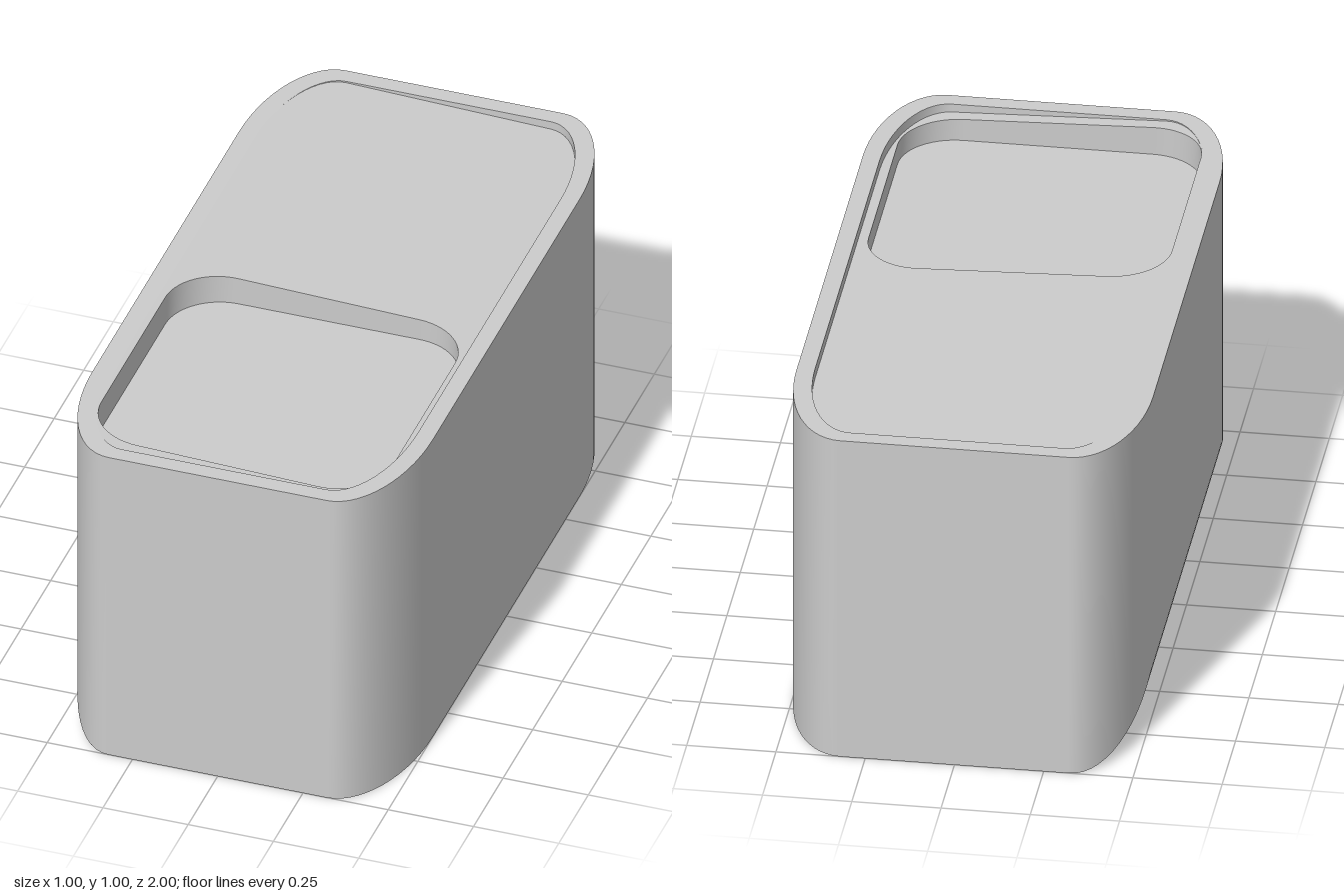
import * as THREE from 'three';

const material = new THREE.MeshStandardMaterial({ color: 0xcccccc });

// Rounded rectangle with elliptical corners, running from +x towards +z
function outline(hx, hz, rx, rz, cx = 0, cz = 0, n = 14) {
  const pts = [];
  const signs = [[1, 1], [-1, 1], [-1, -1], [1, -1]];
  signs.forEach(([sx, sz], q) => {
    for (let i = 0; i <= n; i++) {
      const t = (q + i / n) * Math.PI / 2;
      pts.push(new THREE.Vector2(
        cx + sx * (hx - rx) + rx * Math.cos(t),
        cz + sz * (hz - rz) + rz * Math.sin(t)));
    }
  });
  return pts;
}

// Smooth strip between two rows of points
function strip(a, b) {
  const pos = [], idx = [];
  a.forEach((p, i) => {
    pos.push(...p.toArray(), ...b[i].toArray());
    const k = i * 2;
    if (i < a.length - 1) idx.push(k, k + 1, k + 2, k + 1, k + 3, k + 2);
  });
  const g = new THREE.BufferGeometry();
  g.setAttribute('position', new THREE.Float32BufferAttribute(pos, 3));
  g.setIndex(idx);
  g.computeVertexNormals();
  return g;
}

const raise = (pts, y) => pts.map(p => new THREE.Vector3(p.x, y(p.x), p.y));

// Closed wall around an outline; inward walls face the middle
function wall(pts, yLow, yHigh, inward = false) {
  const loop = [...pts, pts[0]];
  if (inward) loop.reverse();
  return strip(raise(loop, yLow), raise(loop, yHigh));
}

// Upward face with an optional hole, following a height rule
function face(pts, y, hole) {
  const flip = list => list.map(p => new THREE.Vector2(p.x, -p.y));
  const shape = new THREE.Shape(flip(pts));
  if (hole) shape.holes.push(new THREE.Path(flip(hole)));
  const g = new THREE.ShapeGeometry(shape).rotateX(-Math.PI / 2);
  const p = g.attributes.position;
  for (let i = 0; i < p.count; i++) p.setY(i, y(p.getX(i)));
  g.computeVertexNormals();
  return g;
}

export function createModel() {
  const group = new THREE.Group();
  const add = (name, geometry) => {
    const mesh = new THREE.Mesh(geometry, material);
    mesh.name = name;
    group.add(mesh);
  };

  const outer = outline(0.5, 1, 0.18, 0.38);
  const inner = outline(0.45, 0.95, 0.15, 0.35);
  const pocket = outline(0.425, 0.43, 0.16, 0.16, -0.003, 0.48);

  // Height rules: rounded lower edge on one side, gently sloping panel
  const r = 0.17;
  const base = x => {
    const d = Math.min(r, Math.max(0, -0.5 + r - x));
    return r - Math.sqrt(r * r - d * d);
  };
  const top = () => 1;
  const panel = x => 1 - 0.03 * Math.max(0, x + 0.43) / 0.88;
  const pocketFloor = () => 0.91;

  // Body
  add('outerWall', wall(outer, base, top));
  const front = raise(outer.filter(p => p.y > 0), base);
  const back = front.map(p => new THREE.Vector3(p.x, p.y, -p.z));
  add('underside', strip(back, front));

  // Rim and recessed top panel
  add('rim', face(outer, top, inner));
  add('recessWall', wall(inner, panel, top, true));
  add('topPanel', face(inner, panel, pocket));

  // Pocket at the front
  add('pocketWall', wall(pocket, pocketFloor, panel, true));
  add('pocketFloor', face(pocket, pocketFloor));

  return group;
}
